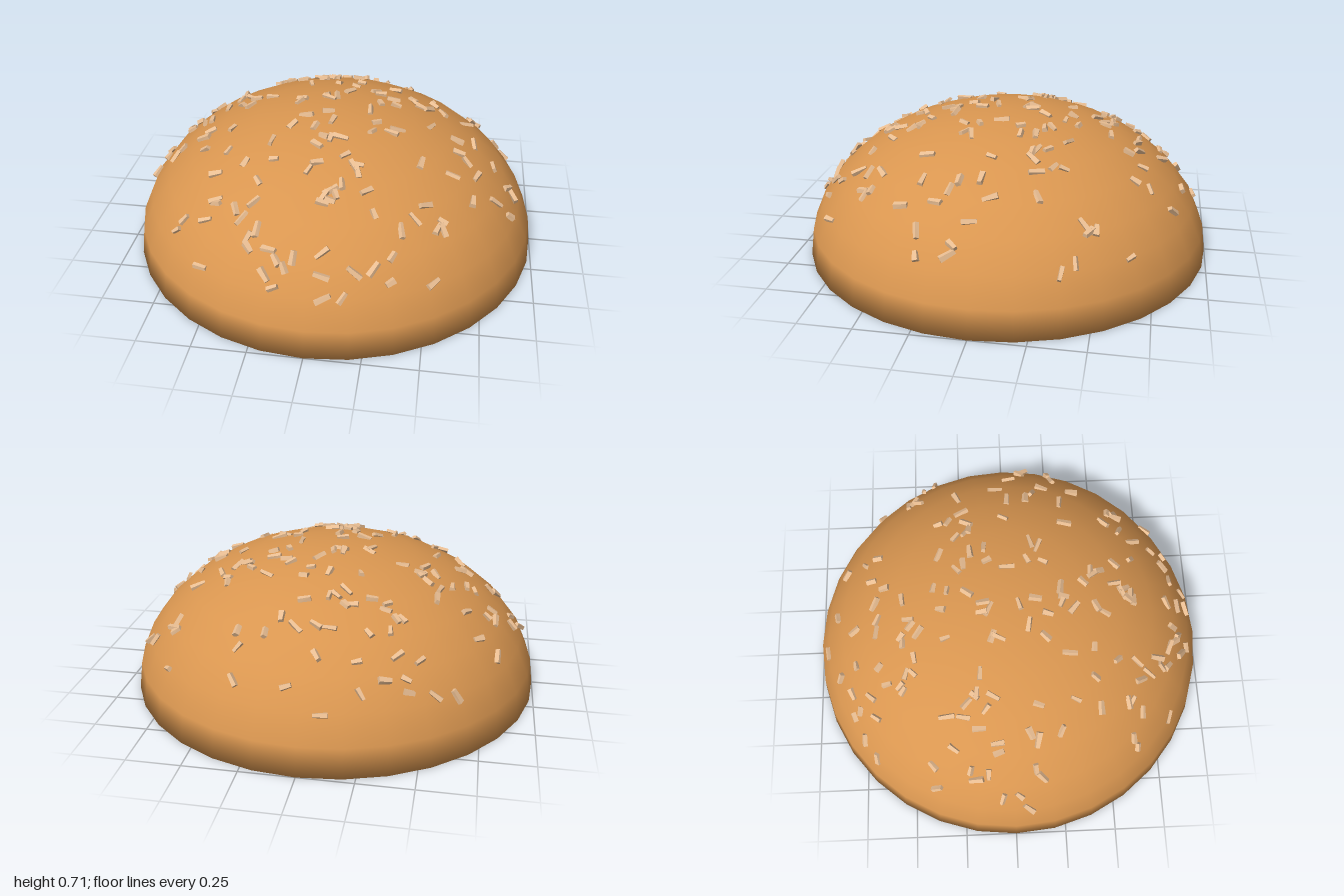
import * as THREE from 'three';
import { mergeGeometries } from 'three/addons/utils/BufferGeometryUtils.js';

const HEIGHT = 0.695, SIDES = 32, RINGS = 8;

// Small repeatable random generator
function seeded(seed) {
  return () => {
    seed = (seed * 1664525 + 1013904223) % 4294967296;
    return seed / 4294967296;
  };
}

// Half ellipsoid closed by a flat base, softly shaded around the rim
function domeGeometry() {
  const profile = [new THREE.Vector2(0, 0)];
  for (let i = 0; i <= RINGS; i++) {
    const a = (i / RINGS) * Math.PI / 2;
    profile.push(new THREE.Vector2(i === RINGS ? 0 : Math.cos(a), HEIGHT * Math.sin(a)));
  }
  const geo = new THREE.LatheGeometry(profile, SIDES);
  const { position, normal } = geo.attributes;
  const n = new THREE.Vector3();
  for (let i = 0; i < position.count; i++) {
    const ring = i % profile.length;
    n.fromBufferAttribute(position, i);
    if (ring === 0) n.set(0, -1, 0);
    else if (ring === 1) n.y = -1.3;
    else n.y /= HEIGHT * HEIGHT;
    n.normalize();
    normal.setXYZ(i, n.x, n.y, n.z);
  }
  return geo;
}

// Slim flake, narrower at one end and bevelled on top
function flakeGeometry() {
  const geo = new THREE.BoxGeometry(0.066, 0.018, 0.028);
  const p = geo.attributes.position;
  for (let i = 0; i < p.count; i++) {
    if (p.getX(i) > 0) p.setZ(i, p.getZ(i) * 0.75);
    if (p.getY(i) > 0) p.setZ(i, p.getZ(i) * 0.75);
  }
  return geo;
}

// Flakes scattered over the upper crust, lying roughly along the surface
function flakesGeometry(count) {
  const rand = seeded(41);
  const base = flakeGeometry();
  const up = new THREE.Vector3(0, 1, 0);
  const parts = [];
  for (let i = 0; i < count; i++) {
    const r = 0.93 * Math.sqrt(rand()), a = rand() * Math.PI * 2;
    const pos = new THREE.Vector3(r * Math.cos(a), HEIGHT * Math.sqrt(1 - r * r), r * Math.sin(a));
    const out = new THREE.Vector3(pos.x, pos.y / (HEIGHT * HEIGHT), pos.z).normalize();
    const tilt = new THREE.Euler((rand() - 0.5) * 1.2, rand() * Math.PI * 2, (rand() - 0.5) * 0.6, 'YXZ');
    const turn = new THREE.Quaternion().setFromUnitVectors(up, out)
      .multiply(new THREE.Quaternion().setFromEuler(tilt));
    const size = new THREE.Vector3(0.65 + 0.5 * rand(), 0.8 + 0.4 * rand(), 0.8 + 0.4 * rand());
    pos.addScaledVector(out, 0.003);
    parts.push(base.clone().applyMatrix4(new THREE.Matrix4().compose(pos, turn, size)));
  }
  return mergeGeometries(parts);
}

export function createModel() {
  const model = new THREE.Group();
  model.name = 'bunTop';

  const crust = new THREE.Mesh(domeGeometry(), new THREE.MeshStandardMaterial({ color: 0xd99650 }));
  crust.name = 'crust';

  const flakes = new THREE.Mesh(
    flakesGeometry(170),
    new THREE.MeshStandardMaterial({ color: 0xe8bd92, flatShading: true })
  );
  flakes.name = 'seedFlakes';

  model.add(crust, flakes);
  return model;
}
